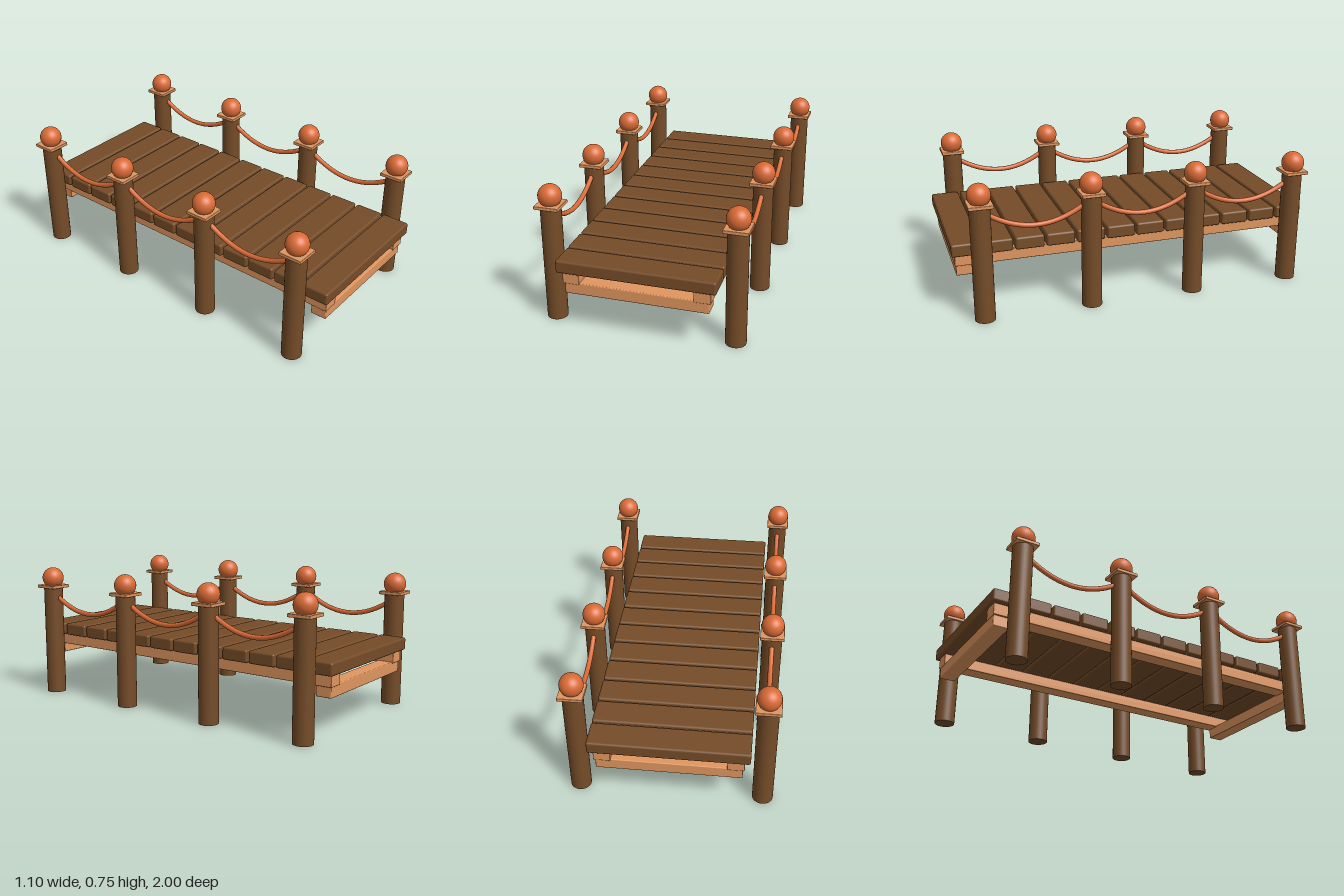
import * as THREE from 'three';
import { RoundedBoxGeometry } from 'three/addons/geometries/RoundedBoxGeometry.js';

const darkWood = new THREE.MeshStandardMaterial({ color: 0x754c28 });
const lightWood = new THREE.MeshStandardMaterial({ color: 0xe0965f });
const orange = new THREE.MeshStandardMaterial({ color: 0xd96a35 });

export function createModel() {
  const model = new THREE.Group();
  model.name = 'dock';

  function add(name, geometry, material, x, y, z, parent = model) {
    const mesh = new THREE.Mesh(geometry, material);
    mesh.name = name;
    mesh.position.set(x, y, z);
    parent.add(mesh);
    return mesh;
  }

  // Deck planks
  const count = 12, plankDepth = 0.155;
  const pitch = (2 - plankDepth) / (count - 1);
  const plankGeo = new RoundedBoxGeometry(0.826, 0.069, plankDepth, 2, 0.011);
  for (let i = 0; i < count; i++) {
    add('plank', plankGeo, darkWood, 0, 0.3695, -1 + plankDepth / 2 + i * pitch);
  }

  // Long beams under the deck
  const stringerGeo = new RoundedBoxGeometry(0.088, 0.064, 1.965, 2, 0.004);
  for (const side of [-1, 1]) add('longBeam', stringerGeo, lightWood, side * 0.34, 0.305, 0);

  // Cross beams at both ends
  const crossGeo = new RoundedBoxGeometry(0.75, 0.064, 0.088, 2, 0.005);
  for (const end of [-1, 1]) add('crossBeam', crossGeo, lightWood, 0, 0.248, end * 0.933);

  // Posts with square caps and ball finials
  const postX = 0.483, postH = 0.632;
  const postZ = [0.855, 0.274, -0.307, -0.888];
  const postGeo = new THREE.CylinderGeometry(0.0545, 0.0545, postH, 32);
  const capGeo = new RoundedBoxGeometry(0.129, 0.018, 0.129, 2, 0.003);
  const ballGeo = new THREE.SphereGeometry(0.0615, 32, 20);
  for (const side of [-1, 1]) {
    for (const z of postZ) {
      const post = new THREE.Group();
      post.name = 'post';
      post.position.set(side * postX, 0, z);
      model.add(post);
      add('postShaft', postGeo, darkWood, 0, postH / 2, 0, post);
      add('postCap', capGeo, lightWood, 0, 0.638, 0, post);
      add('postBall', ballGeo, orange, 0, 0.687, 0, post);
    }
  }

  // Sagging ropes between neighbouring posts
  const half = (postZ[0] - postZ[1]) / 2;
  const points = [];
  for (let i = 0; i <= 10; i++) {
    const z = half * (i / 5 - 1);
    points.push(new THREE.Vector3(0, 1.3 * z * z, z));
  }
  const ropeGeo = new THREE.TubeGeometry(new THREE.CatmullRomCurve3(points), 28, 0.0135, 10);
  for (const side of [-1, 1]) {
    for (let i = 0; i < postZ.length - 1; i++) {
      add('rope', ropeGeo, orange, side * postX, 0.495, (postZ[i] + postZ[i + 1]) / 2);
    }
  }

  return model;
}
